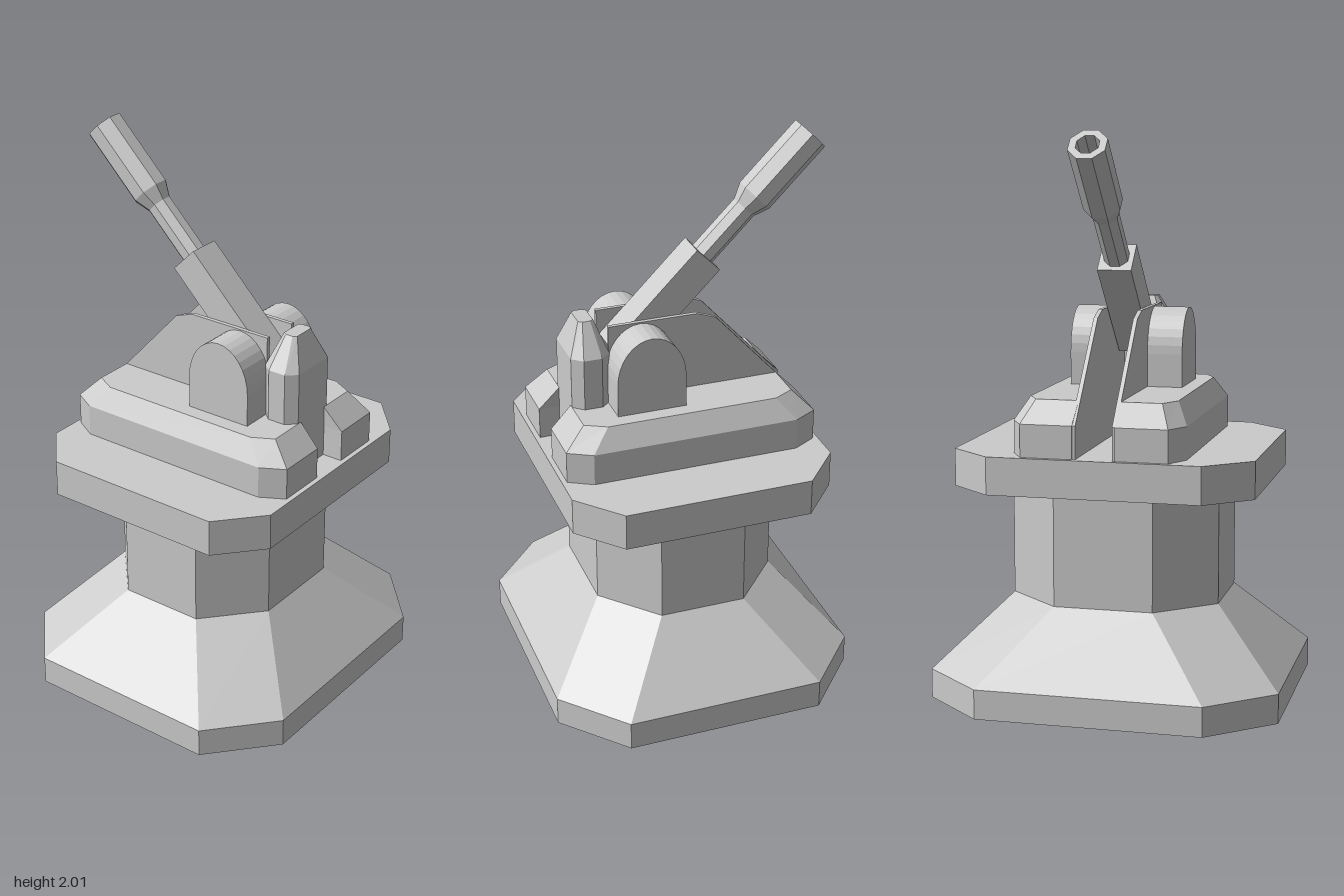
import * as THREE from 'three';

const grey = new THREE.MeshStandardMaterial({ color: 0xcccccc, flatShading: true });
const greyDouble = new THREE.MeshStandardMaterial({ color: 0xcccccc, flatShading: true, side: THREE.DoubleSide });

// Octagon in plan: half extents X, Z; the front edge ends at fx, the side edge at sz
const octagon = (X, Z, fx, sz) => [
  [-fx, Z], [fx, Z], [X, sz], [X, -sz], [fx, -Z], [-fx, -Z], [-X, -sz], [-X, sz]];

// Half of the split housing, with a straight inner side at zi
const halfPlan = (X, Z, fx, sz, zi) => [
  [-fx, Z], [fx, Z], [X, sz], [X, zi], [-X, zi], [-X, sz]];

// Joins convex plan outlines at rising heights: levels = [[y, outline], ...]
function loft(levels, bottomCap = true, topCap = true) {
  const pos = [];
  const rings = levels.map(([y, pts]) => pts.map(([x, z]) => [x, y, z]));
  const tri = (a, b, c) => pos.push(...a, ...b, ...c);
  const n = rings[0].length;
  for (let k = 0; k < rings.length - 1; k++) {
    const a = rings[k], b = rings[k + 1];
    for (let i = 0; i < n; i++) {
      const j = (i + 1) % n;
      tri(a[i], a[j], b[j]);
      tri(a[i], b[j], b[i]);
    }
  }
  const low = rings[0], high = rings[rings.length - 1];
  for (let i = 1; i < n - 1; i++) {
    if (bottomCap) tri(low[0], low[i + 1], low[i]);
    if (topCap) tri(high[0], high[i], high[i + 1]);
  }
  const g = new THREE.BufferGeometry();
  g.setAttribute('position', new THREE.Float32BufferAttribute(pos, 3));
  g.computeVertexNormals();
  return g;
}

// Extrudes a side profile in x, y between two z positions
function slab(shape, z0, z1) {
  const g = new THREE.ExtrudeGeometry(shape, { depth: z1 - z0, bevelEnabled: false, curveSegments: 8 });
  return g.translate(0, 0, z0);
}

export function createModel() {
  const model = new THREE.Group();
  const add = (name, geometry, material = grey, parent = model) => {
    const mesh = new THREE.Mesh(geometry, material);
    mesh.name = name;
    parent.add(mesh);
    return mesh;
  };

  // Hollow pedestal, open underneath: foot, sloping skirt and column
  const foot = octagon(0.562, 0.625, 0.36, 0.4);
  const column = octagon(0.335, 0.375, 0.157, 0.177);
  add('pedestal', loft([[0, foot], [0.105, foot], [0.355, column], [0.772, column]], false, false), greyDouble);

  // Platform
  const deck = octagon(0.478, 0.533, 0.338, 0.375);
  add('platform', loft([[0.772, deck], [0.905, deck]]));

  // Left and right sides of the turret, the same shapes turned by half a turn or mirrored
  const lower = halfPlan(0.46, 0.305, 0.375, 0.258, 0.075);
  const upper = halfPlan(0.385, 0.262, 0.31, 0.222, 0.07);
  const housing = loft([[0.905, lower], [1.02, lower], [1.097, upper]]);

  const plate = new THREE.Shape([
    [-0.455, 0.905], [0.245, 0.905], [0.245, 1.38], [-0.08, 1.38], [-0.15, 1.355], [-0.455, 1.02],
  ].map(([x, y]) => new THREE.Vector2(x, y)));

  const arch = new THREE.Shape();
  arch.moveTo(0.005, 1.08);
  arch.lineTo(0.255, 1.08);
  arch.lineTo(0.255, 1.215);
  arch.absellipse(0.13, 1.215, 0.125, 0.16, 0, Math.PI, false);
  arch.closePath();

  for (const s of [1, -1]) {
    const half = add('housingHalf', housing);
    if (s < 0) half.rotation.y = Math.PI;
    const span = (a, b) => (s > 0 ? [a, b] : [-b, -a]);
    add('cheekPlate', slab(plate, ...span(0.064, 0.079)));
    add('pivotPod', slab(arch, ...span(0.079, 0.206)));
  }

  // Post behind the gun, with a tapered top
  const post = octagon(0.07, 0.12, 0.033, 0.087);
  const tip = octagon(0.027, 0.05, 0.014, 0.04);
  const postMesh = add('rearPost', loft([[0.905, post], [1.285, post], [1.4, tip]]));
  postMesh.position.x = 0.315;

  // Gun raised by 45 degrees; its origin is the front end of the breech
  const gun = new THREE.Group();
  gun.name = 'gun';
  gun.position.set(-0.128, 1.568, 0);
  gun.rotation.z = Math.PI / 4;
  model.add(gun);
  add('breech', new THREE.BoxGeometry(0.12, 0.453, 0.122).translate(0, -0.2265, 0), grey, gun);
  const barrel = [[0.046, -0.02], [0.046, 0.215], [0.069, 0.27], [0.069, 0.555], [0.042, 0.555], [0.042, 0.4], [0, 0.4]];
  add('barrel', new THREE.LatheGeometry(
    barrel.map(([r, y]) => new THREE.Vector2(r, y)), 8, Math.PI / 8), greyDouble, gun);

  return model;
}
